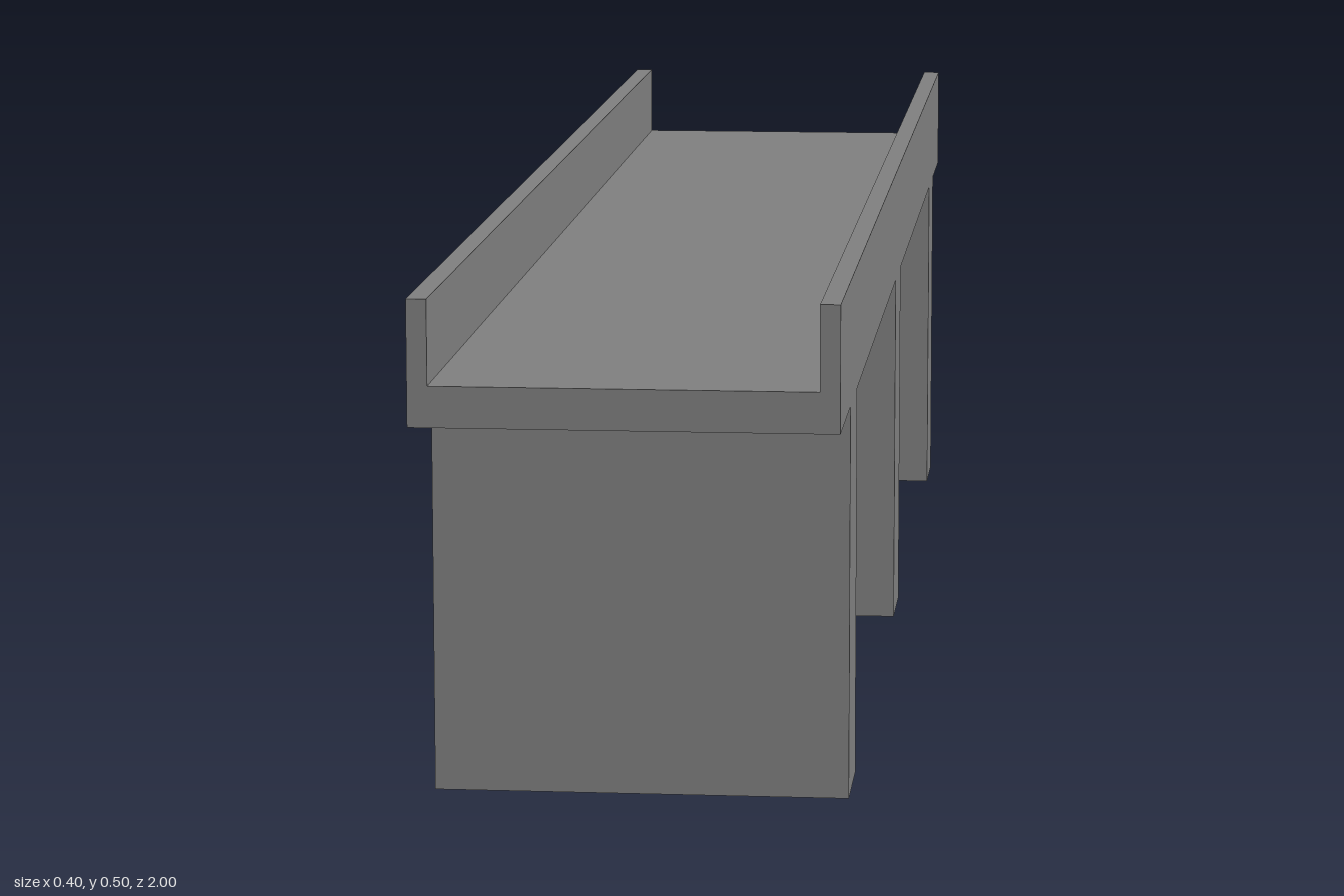
import * as THREE from 'three';

const HALF_W = 0.2, LENGTH = 2;
const DECK_BOTTOM = 0.382, DECK_TOP = 0.421, WALL_TOP = 0.502, WALL = 0.019;
const PIER_DEPTH = 0.1, PIER_SPACING = 0.8;

export function createModel() {
  const model = new THREE.Group();
  model.name = 'bridge';
  const concrete = new THREE.MeshStandardMaterial({ color: 0x808080 });
  concrete.name = 'concrete grey';

  // U-shaped deck with parapets, extruded along the span
  const inner = HALF_W - WALL;
  const section = new THREE.Shape([
    [-HALF_W, DECK_BOTTOM], [HALF_W, DECK_BOTTOM], [HALF_W, WALL_TOP], [inner, WALL_TOP],
    [inner, DECK_TOP], [-inner, DECK_TOP], [-inner, WALL_TOP], [-HALF_W, WALL_TOP],
  ].map(([x, y]) => new THREE.Vector2(x, y)));
  const deckGeometry = new THREE.ExtrudeGeometry(section, { depth: LENGTH, bevelEnabled: false });
  deckGeometry.translate(0, 0, -LENGTH / 2);
  const deck = new THREE.Mesh(deckGeometry, concrete);
  deck.name = 'deckWithParapets';
  model.add(deck);

  // Three full-width wall piers
  const pierGeometry = new THREE.BoxGeometry(HALF_W * 2, DECK_BOTTOM, PIER_DEPTH);
  ['backPier', 'middlePier', 'frontPier'].forEach((name, i) => {
    const pier = new THREE.Mesh(pierGeometry, concrete);
    pier.name = name;
    pier.position.set(0, DECK_BOTTOM / 2, (i - 1) * PIER_SPACING);
    model.add(pier);
  });

  return model;
}
